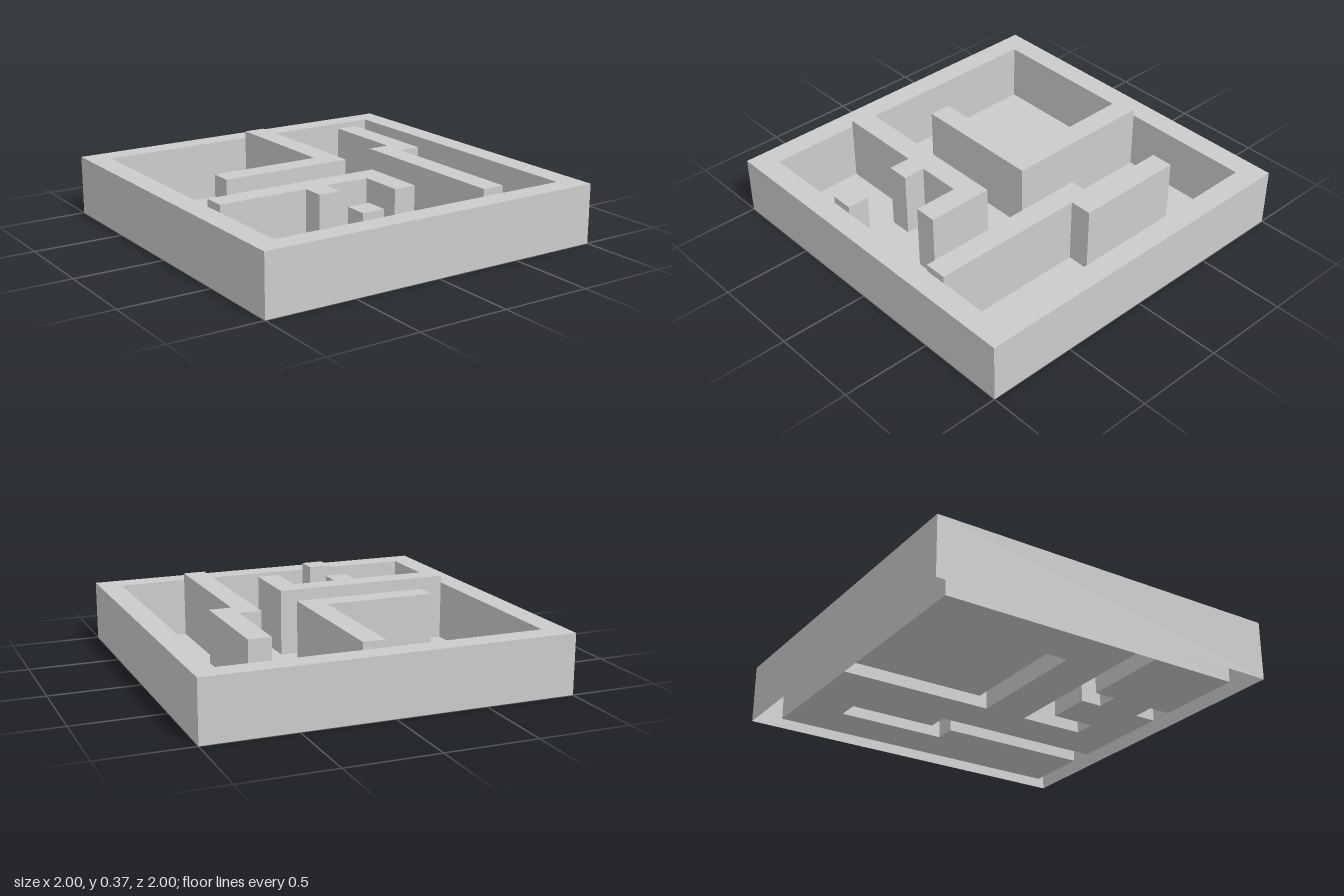
import * as THREE from 'three';

const U = 1 / 8;          // plan grid unit
const FRAME_HEIGHT = 0.33;
const WALL_HEIGHT = 0.37;

const material = new THREE.MeshStandardMaterial({
  color: 0xcccccc, flatShading: true, side: THREE.DoubleSide,
});

// Wall outlines as [x, z] in grid units, each starting and ending on the frame
const backWall = [[0, -7], [0, -1], [-5, -1], [-5, 0], [1, 0], [1, -7]];
const steppedWall = [[4, 7], [4, 0], [5, 0], [5, -5], [4, -5], [4, -1], [3, -1], [3, 7]];
const frontStub = [[-2, 7], [-2, 6], [-3, 6], [-3, 7]];
const leftWall = [[-7, 3], [-3, 3], [-3, 4], [-2, 4], [-2, 3], [0, 3], [0, 5], [1, 5], [1, 2], [-7, 2]];

const square = (r) => [[-r, -r], [r, -r], [r, r], [-r, r]];
const toPoints = (plan) => plan.map(([x, z]) => new THREE.Vector2(x * U, -z * U));

// Hollow upright prism: sides and top, open underneath
function shell(plan, height, hole) {
  const shape = new THREE.Shape(toPoints(plan));
  if (hole) shape.holes.push(new THREE.Path(toPoints(hole)));
  const solid = new THREE.ExtrudeGeometry(shape, { depth: height, bevelEnabled: false });
  solid.rotateX(-Math.PI / 2);
  const p = solid.attributes.position;
  const kept = [];
  for (let i = 0; i < p.count; i += 3) {
    if (Math.max(p.getY(i), p.getY(i + 1), p.getY(i + 2)) < 1e-4) continue;
    for (let k = i; k < i + 3; k++) kept.push(p.getX(k), p.getY(k), p.getZ(k));
  }
  const geometry = new THREE.BufferGeometry();
  geometry.setAttribute('position', new THREE.Float32BufferAttribute(kept, 3));
  geometry.computeVertexNormals();
  return geometry;
}

export function createModel() {
  const model = new THREE.Group();
  model.name = 'walledTray';
  const add = (name, geometry) => {
    const mesh = new THREE.Mesh(geometry, material);
    mesh.name = name;
    model.add(mesh);
  };

  // Square outer frame
  add('outerFrame', shell(square(8), FRAME_HEIGHT, square(7)));

  // Inner walls, slightly taller than the frame
  const walls = { backWall, steppedWall, frontStub, leftWall };
  for (const [name, plan] of Object.entries(walls)) add(name, shell(plan, WALL_HEIGHT));

  // Thin floor filling the space between the walls
  const floorPlan = [
    [-7, -7], ...backWall, [7, -7], [7, 7], ...steppedWall, ...frontStub, [-7, 7], ...leftWall,
  ];
  const floor = new THREE.ShapeGeometry(new THREE.Shape(toPoints(floorPlan)));
  floor.rotateX(-Math.PI / 2);
  add('floor', floor);

  return model;
}
